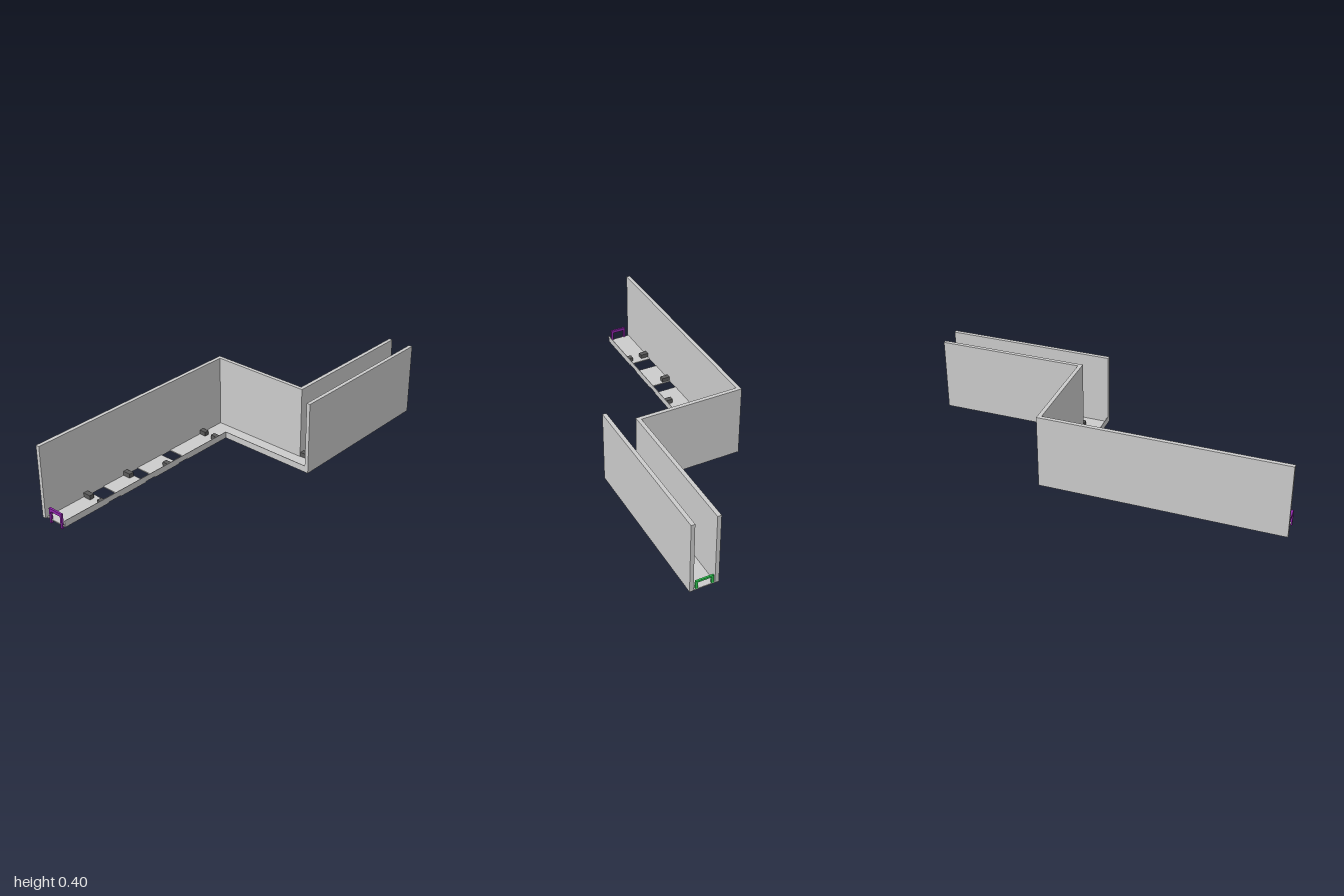
import * as THREE from 'three';

const grey = new THREE.MeshStandardMaterial({ color: 0xcccccc });
const dark = new THREE.MeshStandardMaterial({ color: 0x5a5a5a });
const purple = new THREE.MeshStandardMaterial({ color: 0x8e24aa });
const green = new THREE.MeshStandardMaterial({ color: 0x2ecc52 });

const BASE = 0.015, FLOOR = 0.02, LIP = 0.05, TOP = 0.402;

// Box given by its minimum and maximum on each axis
function slab(parent, name, [x0, x1], [y0, y1], [z0, z1], material = grey) {
  const mesh = new THREE.Mesh(new THREE.BoxGeometry(x1 - x0, y1 - y0, z1 - z0), material);
  mesh.position.set((x0 + x1) / 2, (y0 + y1) / 2, (z0 + z1) / 2);
  mesh.name = name;
  parent.add(mesh);
}

// Upright frame: two legs and a crossbar, extruded along z
function gate(name, x0, x1, y0, y1, leg, bar, z0, z1, material) {
  const s = new THREE.Shape([
    [x0, y0], [x0 + leg, y0], [x0 + leg, y1 - bar], [x1 - leg, y1 - bar],
    [x1 - leg, y0], [x1, y0], [x1, y1], [x0, y1],
  ].map(([x, y]) => new THREE.Vector2(x, y)));
  const mesh = new THREE.Mesh(new THREE.ExtrudeGeometry(s, { depth: z1 - z0, bevelEnabled: false }), material);
  mesh.position.z = z0;
  mesh.name = name;
  return mesh;
}

export function createModel() {
  const model = new THREE.Group();
  model.name = 'corridorCourse';

  // Tall walls
  const walls = new THREE.Group();
  walls.name = 'walls';
  const tall = [BASE, TOP];
  slab(walls, 'frontCorridorWall', [-0.345, -0.325], tall, [-0.22, 1]);
  slab(walls, 'crossWall', [-0.345, 0.218], tall, [-0.24, -0.22]);
  slab(walls, 'backCorridorInnerWall', [0.198, 0.218], tall, [-1, -0.24]);
  slab(walls, 'backCorridorOuterWall', [0.325, 0.345], tall, [-1, -0.122]);

  // Thin floor; the front corridor is broken by three pits
  const floor = new THREE.Group();
  floor.name = 'floor';
  const thin = [BASE, FLOOR];
  const cuts = [-0.122, 0.168, 0.232, 0.402, 0.466, 0.635, 0.714, 0.99];
  for (let i = 0; i < cuts.length; i += 2) {
    slab(floor, 'frontFloor', [-0.325, -0.2], thin, [cuts[i], cuts[i + 1]]);
  }
  slab(floor, 'crossFloor', [-0.325, 0.325], thin, [-0.22, -0.122]);
  slab(floor, 'backFloor', [0.218, 0.325], thin, [-1, -0.22]);

  // Low lips along the open edges
  const lips = new THREE.Group();
  lips.name = 'lips';
  slab(lips, 'frontLip', [-0.203, -0.2], [FLOOR, LIP], [-0.122, 0.99]);
  slab(lips, 'crossLip', [-0.203, 0.325], [BASE, LIP], [-0.125, -0.122]);

  // Obstacle blocks: x range and centre z
  const blocks = new THREE.Group();
  blocks.name = 'obstacles';
  [
    [-0.325, -0.287, -0.07], [-0.247, -0.203, -0.07],
    [-0.243, -0.203, 0.292], [-0.325, -0.282, 0.485],
    [-0.325, -0.282, 0.748], [-0.23, -0.203, 0.748],
    [0.28, 0.325, -0.842], [0.218, 0.262, -0.763],
    [0.264, 0.325, -0.682], [0.218, 0.262, -0.602],
    [0.246, 0.325, -0.508], [0.218, 0.262, -0.43],
    [0.3, 0.325, -0.43], [0.252, 0.294, -0.355],
    [0.218, 0.262, -0.236],
  ].forEach(([x0, x1, z]) =>
    slab(blocks, 'obstacle', [x0, x1], [FLOOR, 0.043], [z - 0.013, z + 0.013], dark));

  model.add(walls, floor, lips, blocks,
    gate('frontGate', -0.302, -0.216, 0, 0.081, 0.011, 0.016, 0.984, 0.995, purple),
    gate('backGate', 0.224, 0.315, FLOOR, 0.065, 0.011, 0.01, -1, -0.991, green));
  return model;
}
